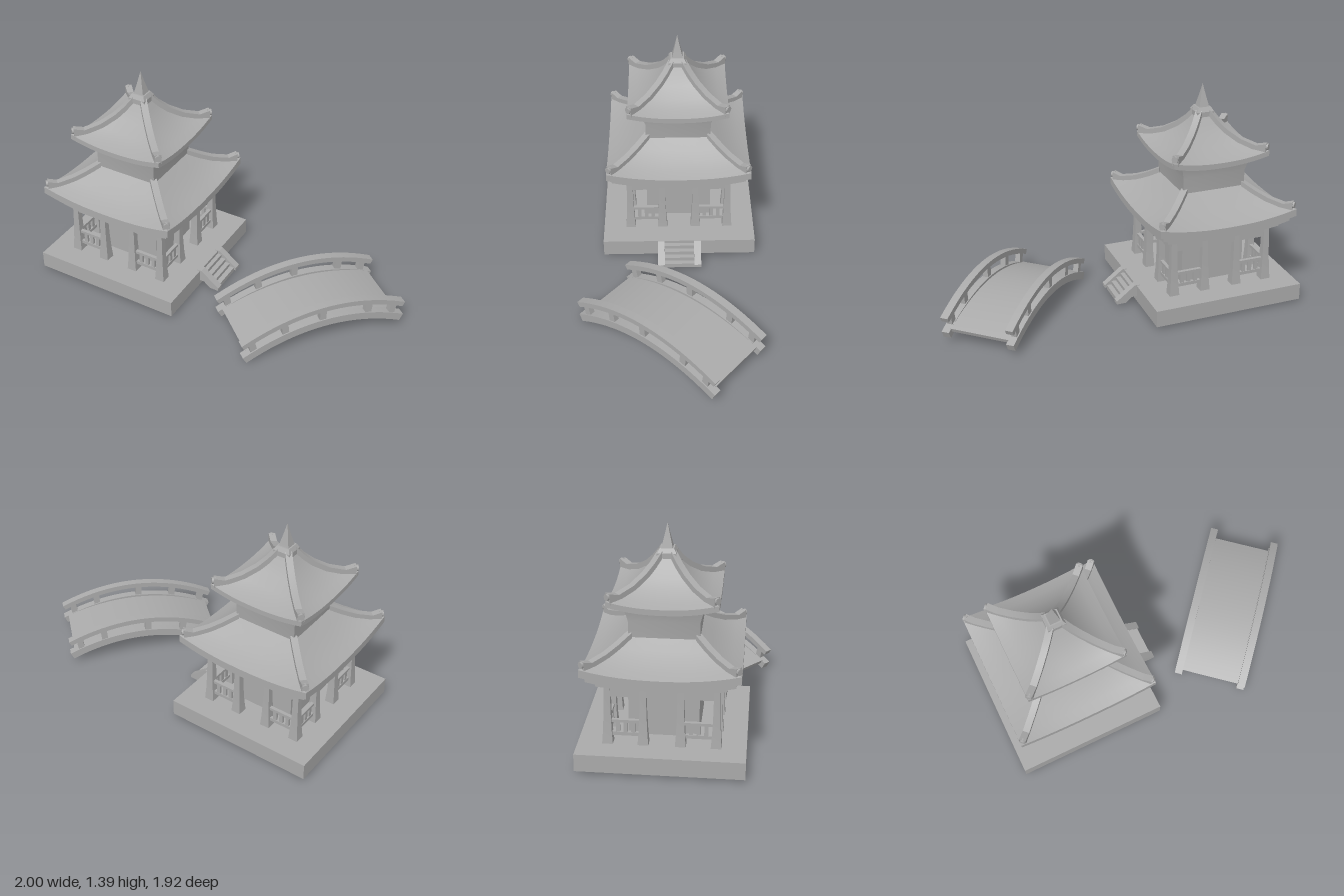
import * as THREE from 'three';
import { toCreasedNormals } from 'three/addons/utils/BufferGeometryUtils.js';

const stone = new THREE.MeshStandardMaterial({ color: 0xaaaaaa });
stone.name = 'stone grey';

function add(parent, name, geometry, x = 0, y = 0, z = 0) {
  const mesh = new THREE.Mesh(geometry, stone);
  mesh.name = name;
  mesh.position.set(x, y, z);
  parent.add(mesh);
  return mesh;
}

const box = (w, h, d) => new THREE.BoxGeometry(w, h, d);

// Square turned shape from [half width, height] pairs
function squareLathe(profile) {
  const points = profile.map(([h, y]) => new THREE.Vector2(h * Math.SQRT2, y));
  return toCreasedNormals(new THREE.LatheGeometry(points, 4).rotateY(Math.PI / 4), 0.4);
}

// Extruded outline, centred on z = 0
function plate(points, depth) {
  const shape = new THREE.Shape(points.map(([x, y]) => new THREE.Vector2(x, y)));
  const geometry = new THREE.ExtrudeGeometry(shape, { depth, bevelEnabled: false });
  return toCreasedNormals(geometry.translate(0, 0, -depth / 2), 0.5);
}

// Square roof: each row is [half width, height at mid edge, lift at the corners]
function roofGeometry(rows) {
  const positions = [], steps = 12;
  for (let side = 0; side < 4; side++) {
    const point = (i, j) => {
      const [h, y, lift] = rows[i], t = (j / steps) * 2 - 1;
      return new THREE.Vector3(h * t, y + lift * Math.abs(t) ** 2.3, h)
        .applyAxisAngle(new THREE.Vector3(0, 1, 0), side * Math.PI / 2);
    };
    for (let i = 0; i < rows.length - 1; i++) {
      for (let j = 0; j < steps; j++) {
        const a = point(i, j), b = point(i + 1, j), c = point(i + 1, j + 1), d = point(i, j + 1);
        for (const p of [a, b, c, a, c, d]) positions.push(p.x, p.y, p.z);
      }
    }
  }
  const geometry = new THREE.BufferGeometry();
  geometry.setAttribute('position', new THREE.Float32BufferAttribute(positions, 3));
  return toCreasedNormals(geometry, 0.5);
}

// Roof with hip ridges that turn up at the tips
function addRoof(parent, name, rows, slopeCount) {
  const roof = new THREE.Group();
  roof.name = name;
  parent.add(roof);
  add(roof, name + 'Tiles', roofGeometry(rows));
  const line = rows.slice(0, slopeCount).map(([h, y, lift]) => [h * Math.SQRT2, y + lift]);
  const tip = line[line.length - 1];
  tip[0] *= 0.96;
  const upper = line.map(([x, y], i) => [x, y + (i === line.length - 1 ? 0.045 : 0.022)]);
  const lower = line.map(([x, y]) => [x, y - 0.02]).reverse();
  for (let k = 0; k < 4; k++) {
    const hip = new THREE.Group();
    hip.name = 'hipRidge';
    hip.rotation.y = Math.PI / 4 + k * Math.PI / 2;
    roof.add(hip);
    add(hip, 'ridge', plate([...lower, ...upper], 0.042));
    add(hip, 'ridgeEnd', new THREE.CylinderGeometry(0.021, 0.021, 0.024, 8).rotateZ(Math.PI / 2),
      tip[0], tip[1] + 0.024, 0);
  }
}

function buildPagoda() {
  const pagoda = new THREE.Group();
  pagoda.name = 'pagoda';
  add(pagoda, 'base', box(0.996, 0.11, 0.996), 0, 0.075, 0);

  // Core walls and flared upper storey
  add(pagoda, 'innerRoom', box(0.425, 0.38, 0.425), 0, 0.32, 0);
  add(pagoda, 'upperWalls', squareLathe([[0.209, 0.5], [0.209, 0.86], [0.232, 0.95]]));

  // Colonnade: four tapered square columns, lintel and two railings per side
  const columnGeometry = squareLathe([[0.032, 0], [0.026, 0.08], [0.021, 0.2], [0.018, 0.37]]);
  const e = 0.32, inner = 0.11;
  for (let k = 0; k < 4; k++) {
    const side = new THREE.Group();
    side.name = 'colonnadeSide';
    side.rotation.y = k * Math.PI / 2;
    pagoda.add(side);
    for (const x of [-e, -inner, inner]) add(side, 'column', columnGeometry, x, 0.13, e);
    add(side, 'lintel', box(2 * e, 0.07, 0.03), 0, 0.468, e);
    for (const s of [-1, 1]) {
      const mid = s * (e + inner) / 2;
      add(side, 'topRail', box(e - inner, 0.018, 0.022), mid, 0.272, e);
      add(side, 'lowerRail', box(e - inner, 0.022, 0.022), mid, 0.19, e);
      for (let i = -1; i <= 1; i++) add(side, 'baluster', box(0.024, 0.07, 0.016), mid + i * 0.045, 0.232, e);
    }
  }

  // Roofs: slope rows first, then stepped eaves back to the walls
  addRoof(pagoda, 'lowerRoof', [
    [0.2, 0.765, 0], [0.27, 0.707, 0.008], [0.33, 0.663, 0.018], [0.4, 0.625, 0.033], [0.46, 0.603, 0.05],
    [0.46, 0.555, 0.05], [0.43, 0.555, 0.05], [0.43, 0.52, 0.045], [0.38, 0.52, 0.035],
    [0.38, 0.495, 0.02], [0.2, 0.495, 0]], 5);
  addRoof(pagoda, 'upperRoof', [
    [0.04, 1.21, 0], [0.08, 1.15, 0], [0.125, 1.095, 0.004], [0.19, 1.037, 0.012], [0.26, 0.996, 0.025],
    [0.32, 0.977, 0.038], [0.32, 0.945, 0.036], [0.295, 0.945, 0.036], [0.295, 0.932, 0.033],
    [0.25, 0.935, 0.02], [0.2, 0.938, 0]], 6);

  // Cap and spire
  add(pagoda, 'cap', squareLathe([[0, 1.19], [0.057, 1.19], [0.057, 1.222], [0.042, 1.248], [0, 1.248]]));
  add(pagoda, 'spire', squareLathe([[0.034, 1.245], [0.016, 1.32], [0, 1.395]]));

  // Open stairs between two sloping side walls
  for (let i = 0; i < 4; i++) {
    add(pagoda, 'step', box(0.2, 0.03, 0.036), 0, 0.095 - i * 0.024, 0.507 + i * 0.032);
  }
  const wall = [[0.48, 0.055], [0.53, 0.055], [0.575, 0.02], [0.635, 0.02], [0.635, 0.04], [0.51, 0.135], [0.48, 0.135]];
  for (const s of [-1, 1]) {
    add(pagoda, 'stairWall', plate(wall, 0.045).rotateY(-Math.PI / 2), s * 0.119, 0, 0);
  }
  return pagoda;
}

// Arched strip: crown height of its top, thickness, half span, depth and curvature
function archGeometry(crown, thickness, half, depth, k = 0.468) {
  const upper = [], lower = [];
  for (let i = 0; i <= 20; i++) {
    const x = half * (i / 10 - 1), slope = -2 * k * x, len = Math.hypot(1, slope);
    const y = crown - k * x * x;
    upper.push([x, y]);
    lower.push([x + thickness * slope / len, y - thickness / len]);
  }
  return plate([...lower, ...upper.reverse()], depth);
}

function buildBridge() {
  const bridge = new THREE.Group();
  bridge.name = 'bridge';
  add(bridge, 'deck', archGeometry(0.186, 0.026, 0.503, 0.4, 0.41));
  for (const s of [-1, 1]) {
    const z = s * 0.216;
    add(bridge, 'sideBeam', archGeometry(0.2, 0.05, 0.532, 0.05), 0, 0, z);
    add(bridge, 'handrail', archGeometry(0.3, 0.034, 0.538, 0.05), 0, 0, z);
    for (const x of [-0.465, -0.255, -0.01, 0.295, 0.46]) {
      const post = add(bridge, 'railPost', box(0.042, 0.1, 0.036), x, 0.233 - 0.468 * x * x, z);
      post.rotation.z = -0.4 * x;
    }
  }
  return bridge;
}

export function createModel() {
  const model = new THREE.Group();
  model.name = 'pagodaWithBridge';
  const pagoda = buildPagoda();
  pagoda.position.set(-0.298, 0, -0.262);
  pagoda.rotation.y = THREE.MathUtils.degToRad(40.8);
  const bridge = buildBridge();
  bridge.position.set(0.465, 0, 0.718);
  bridge.rotation.z = 0.038;
  model.add(pagoda, bridge);
  return model;
}
